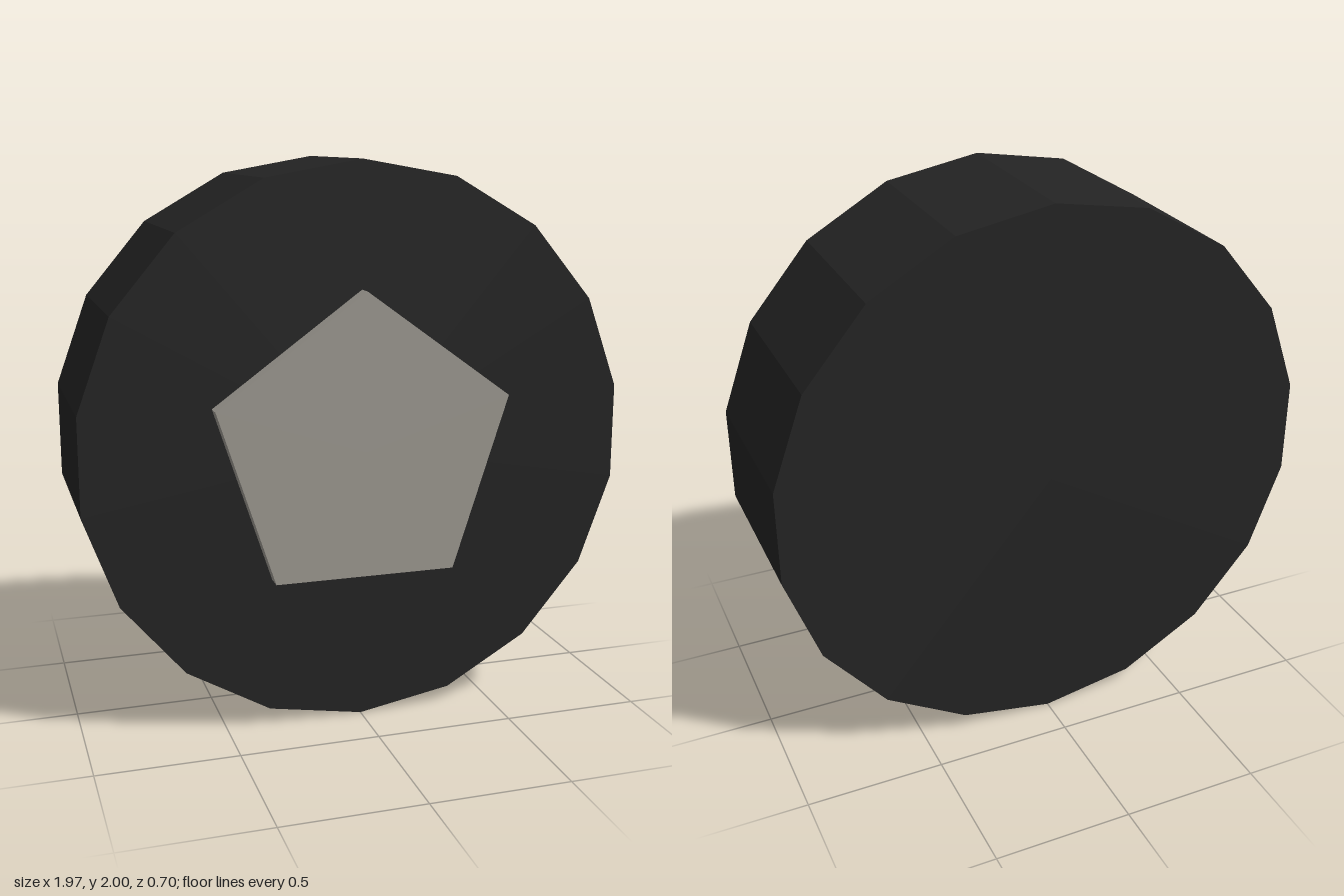
import * as THREE from 'three';

const rubber = new THREE.MeshStandardMaterial({ color: 0x242424, flatShading: true });
rubber.name = 'black rubber';
const metal = new THREE.MeshStandardMaterial({ color: 0x9e9a92, flatShading: true });
metal.name = 'warm grey metal';

// Prism along z between two depths, with one corner pointing straight up
function prism(name, radius, sides, zBack, zFront, material) {
  const geometry = new THREE.CylinderGeometry(radius, radius, zFront - zBack, sides);
  geometry.rotateX(-Math.PI / 2);
  const mesh = new THREE.Mesh(geometry, material);
  mesh.name = name;
  mesh.position.set(0, 1, (zBack + zFront) / 2);
  return mesh;
}

export function createModel() {
  const wheel = new THREE.Group();
  wheel.name = 'wheel';
  // Solid tyre with 18 flat sides
  wheel.add(prism('tyre', 1, 18, -0.35, 0.29, rubber));
  // Five-sided hub cap, seated slightly into the tyre's outer face
  wheel.add(prism('hubCap', 0.56, 5, 0.27, 0.35, metal));
  return wheel;
}
